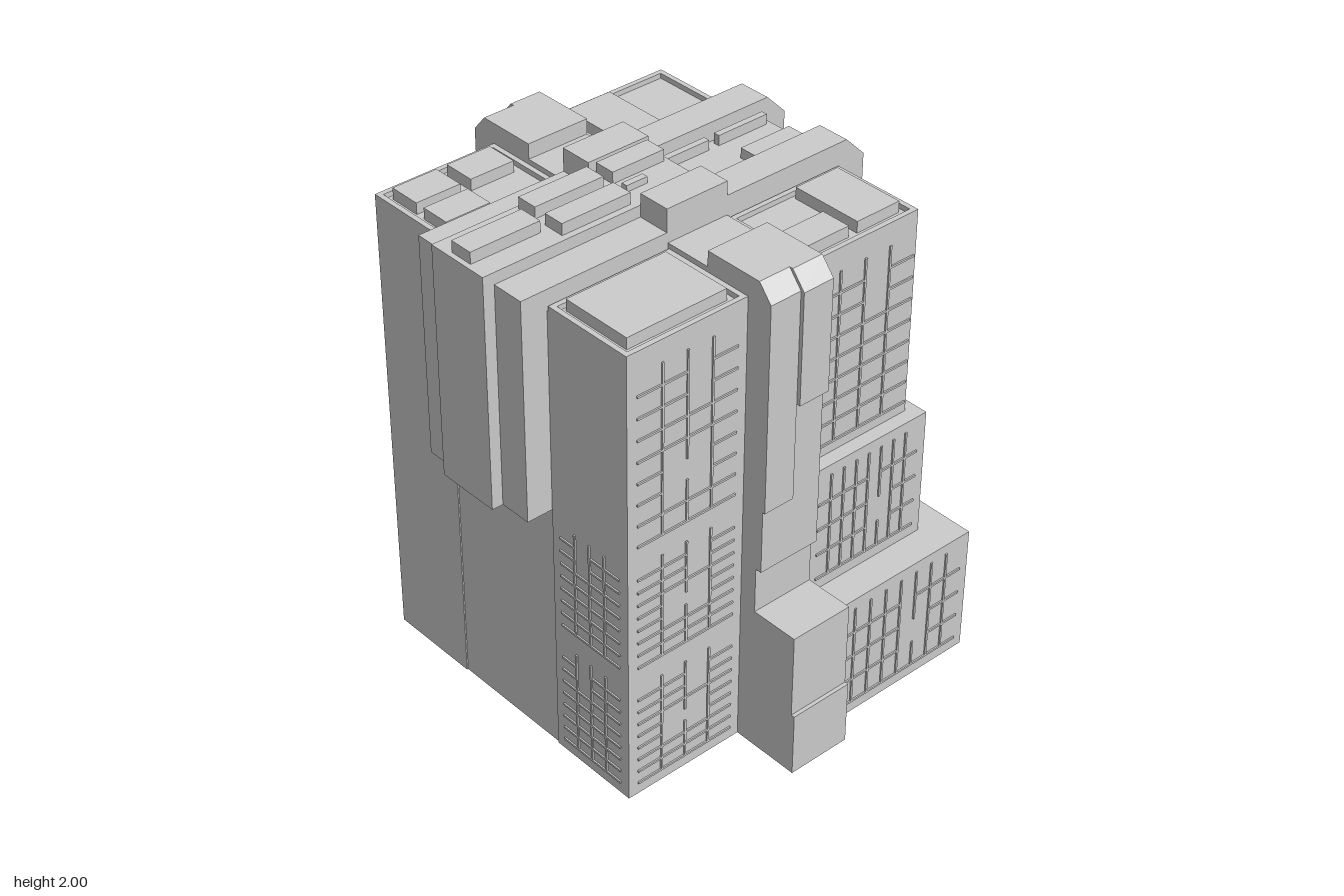
import * as THREE from 'three';
import { mergeGeometries } from 'three/addons/utils/BufferGeometryUtils.js';

const material = new THREE.MeshStandardMaterial({ color: 0xcccccc, flatShading: true });
// open shaft in the middle of the lower storeys
const SHAFT = { x0: -0.42, x1: 0.38, z: 0.37, top: 1.04 };

const boxGeo = (x0, x1, y0, y1, z0, z1) =>
  new THREE.BoxGeometry(Math.abs(x1 - x0), y1 - y0, Math.abs(z1 - z0))
    .translate((x0 + x1) / 2, (y0 + y1) / 2, (z0 + z1) / 2);

export function createModel() {
  const model = new THREE.Group();
  const add = (name, geo) => {
    const mesh = new THREE.Mesh(geo, material);
    mesh.name = name;
    model.add(mesh);
  };
  const box = (name, ...b) => add(name, boxGeo(...b));

  // extruded outline: along z, or (turned) along x with u running along z
  const outline = (pts) => new THREE.Shape(pts.map(([u, v]) => new THREE.Vector2(u, v)));
  const extrude = (shape, depth) => new THREE.ExtrudeGeometry(shape, { depth, bevelEnabled: false });
  const prismZ = (name, pts, z0, z1) =>
    add(name, extrude(outline(pts), Math.abs(z1 - z0)).translate(0, 0, Math.min(z0, z1)));
  const prismX = (name, pts, x0, x1) =>
    add(name, extrude(outline(pts), x1 - x0).rotateY(-Math.PI / 2).translate(x1, 0, 0));

  // tower storey, s = +1 front or -1 back, with the shaft corner left out low down
  const storey = (name, s, x0, x1, y0, y1, z1) => {
    const z0 = 0.26;
    if (y0 >= SHAFT.top) return box(name, x0, x1, y0, y1, s * z0, s * z1);
    box(name, x0, x1, y0, y1, s * SHAFT.z, s * z1);
    if (x0 < 0) box(name, x0, SHAFT.x0, y0, y1, s * z0, s * SHAFT.z);
    else box(name, SHAFT.x1, x1, y0, y1, s * z0, s * SHAFT.z);
  };

  // parapet rim round a tower roof
  const parapet = (x0, x1, s, z1, y0, y1) => {
    const w = 0.02, z0 = 0.265;
    box('parapet', x0, x1, y0, y1, s * (z1 - w), s * z1);
    box('parapet', x0, x1, y0, y1, s * z0, s * (z0 + w));
    box('parapet', x0, x0 + w, y0, y1, s * z0, s * z1);
    box('parapet', x1 - w, x1, y0, y1, s * z0, s * z1);
  };

  // window bars on a wall; gaps are [col0, col1, row0, row1] left free of bars
  const windows = (axis, wall, u0, u1, v0, v1, cols, rows, gaps = []) => {
    const t = 0.004, d = 0.006, parts = [];
    const du = (u1 - u0) / cols, dv = (v1 - v0) / rows;
    const bar = (a0, a1, b0, b1) => parts.push(axis === 'z'
      ? boxGeo(a0, a1, b0, b1, wall - d, wall + d)
      : boxGeo(wall - d, wall + d, b0, b1, a0, a1));
    for (let r = 0; r <= rows; r++) {
      for (let c = 0; c <= cols; c++) {
        const u = u0 + c * du, v = v0 + r * dv;
        const inU = gaps.some((g) => c >= g[0] && c < g[1] && r >= g[2] && r <= g[3]);
        const inV = gaps.some((g) => c > g[0] && c < g[1] && r >= g[2] && r < g[3]);
        if (c < cols && r < rows && !inU) bar(u, u + du, v - t, v + t);
        if (c > 0 && c < cols && r < rows && !inV) bar(u - t, u + t, v, v + dv);
      }
    }
    add('windowBars', mergeGeometries(parts));
  };

  for (const s of [1, -1]) {
    // left towers: straight, three bands of windows
    storey('leftTowerLower', s, -0.67, -0.16, 0, 1.04, 0.64);
    storey('leftTowerUpper', s, -0.67, -0.16, 1.04, 1.83, 0.64);
    parapet(-0.67, -0.16, s, 0.64, 1.83, 1.85);
    windows('z', s * 0.64, -0.63, -0.2, 1.085, 1.765, 4, 8, [[2, 3, 6, 7], [1, 3, 2, 3]]);
    for (const y of [0.05, 0.57]) {
      windows('z', s * 0.64, -0.63, -0.2, y, y + 0.43, 4, 8, [[2, 3, 6, 7], [1, 3, 3, 4]]);
      if (s > 0) windows('x', -0.67, 0.3, 0.6, y, y + 0.43, 4, 8, [[1, 2, 6, 7]]);
    }

    // right towers: stepping out towards the ground
    storey('rightTowerBase', s, 0.1, 0.79, 0, 0.52, 0.825);
    storey('rightTowerMiddle', s, 0.1, 0.66, 0.52, 1.04, 0.695);
    storey('rightTowerTop', s, 0.1, 0.61, 1.04, 1.84, 0.64);
    parapet(0.1, 0.61, s, 0.64, 1.84, 1.86);
    windows('z', s * 0.64, 0.14, 0.6, 1.085, 1.77, 4, 8, [[2, 3, 6, 7]]);
    windows('z', s * 0.695, 0.14, 0.62, 0.57, 1.0, 8, 4, [[4, 5, 3, 3], [4, 6, 1, 2]]);
    windows('z', s * 0.825, 0.14, 0.75, 0.05, 0.48, 8, 4, [[4, 5, 3, 3], [4, 6, 1, 2]]);
    windows('x', 0.61, s * 0.3, s * 0.6, 1.085, 1.77, 6, 16, [[2, 4, 4, 6], [1, 3, 8, 9], [3, 4, 13, 15]]);
    windows('x', 0.66, s * 0.3, s * 0.66, 0.57, 1.0, 6, 8, [[3, 4, 6, 7], [2, 4, 2, 4]]);
    windows('x', 0.79, s * 0.3, s * 0.79, 0.05, 0.48, 7, 4, [[3, 4, 3, 3], [3, 5, 1, 2]]);

    // stair columns between the towers, stepping outwards with height
    const column = (name, x0, x1, step, top) => prismX(name, [
      [0.37, 0], [0.71, 0], [0.71, 0.785], [0.735, 0.785], [0.735, step], [top, step],
      [top, 1.865], [top - 0.055, 1.93], [0.45, 1.93], [0.45, 1.87], [0.26, 1.87],
      [0.26, 1.04], [0.37, 1.04]].map(([z, y]) => [s * z, y]), x0, x1);
    column('columnLeftHalf', -0.16, -0.03, 1.04, 0.745);
    column('columnRightHalf', -0.03, 0.1, 1.425, 0.76);
    box('entrancePorch', -0.16, 0.1, 0, 0.26, s * 0.7, s * 0.92);
    box('entrancePorch', -0.16, 0.1, 0.26, 0.6, s * 0.7, s * 0.905);

    // right fins: chamfered at the top, two layers thick
    const top = [[0.735, 1.86], [0.65, 1.945], [0.1, 1.945], [0.1, 1.04], [0.38, 1.04]];
    prismZ('outerFin', [[0.38, 0], [0.81, 0], [0.81, 0.785], [0.765, 0.785], [0.765, 1.04],
      [0.75, 1.04], [0.75, 1.455], [0.735, 1.455], ...top], s * 0.195, s * 0.26);
    prismZ('innerFin', [[0.38, 0], [0.79, 0], [0.79, 0.265], [0.755, 0.265], [0.755, 0.785],
      [0.745, 0.785], [0.745, 1.04], [0.735, 1.04], ...top], s * 0.13, s * 0.195);

    // raised middle and left overhang flanking the core
    box('ridgeBlock', -0.165, 0.1, 1.04, 2, s * 0.13, s * 0.26);
    box('leftFlank', -0.775, -0.16, 1.04, 1.91, s * 0.13, s * 0.26);

    // slim mullions in the recessed right wall
    for (const [y0, y1] of [[0.02, 0.505], [0.54, 1.03]])
      for (const z of [0.04, 0.065, 0.09, 0.112])
        box('mullion', 0.625, 0.642, y0, y1, s * (z - 0.004), s * (z + 0.004));
    for (const z of [0.055, 0.085])
      box('mullion', 0.625, 0.642, 1.05, 1.44, s * (z - 0.004), s * (z + 0.004));
    box('wallPanel', 0.625, 0.642, 1.44, 1.62, s * 0.015, s * 0.115);
  }

  // central core
  box('leftWall', -0.665, SHAFT.x0, 0, 1.04, -0.26, 0.26);
  box('leftOverhang', -0.82, 0.1, 1.04, 1.955, -0.13, 0.13);
  box('coreLower', SHAFT.x1, 0.63, 0, 1.04, -0.13, 0.13);
  box('coreUpper', 0.1, 0.63, 1.04, 1.87, -0.13, 0.13);
  for (const y of [0.52, 1.04]) box('floorBand', 0.625, 0.64, y - 0.006, y + 0.006, -0.13, 0.13);

  // roof units: x0, x1, z0, z1, bottom, top
  for (const [x0, x1, z0, z1, y0, y1] of [
    [-0.8, -0.515, -0.05, 0.045, 1.95, 2], [-0.475, -0.185, -0.115, -0.03, 1.95, 2],
    [-0.475, -0.185, 0.02, 0.105, 1.95, 2], [-0.145, 0.08, -0.115, -0.03, 1.95, 2],
    [-0.145, -0.055, 0.015, 0.04, 1.95, 1.98], [0.12, 0.34, -0.115, -0.09, 1.86, 1.91],
    [0.385, 0.61, -0.115, -0.09, 1.86, 1.91], [0.385, 0.61, 0.02, 0.105, 1.86, 1.91],
    [-0.625, -0.205, 0.3, 0.59, 1.82, 1.875], [-0.625, -0.44, -0.6, -0.47, 1.82, 1.875],
    [-0.395, -0.21, -0.6, -0.47, 1.82, 1.875], [-0.625, -0.44, -0.43, -0.31, 1.82, 1.875],
    [0.14, 0.335, -0.605, -0.31, 1.83, 1.885], [0.375, 0.57, 0.3, 0.59, 1.83, 1.885],
    [0.14, 0.335, 0.47, 0.59, 1.83, 1.885],
  ]) box('roofUnit', x0, x1, y0, y1, z0, z1);

  return model;
}
